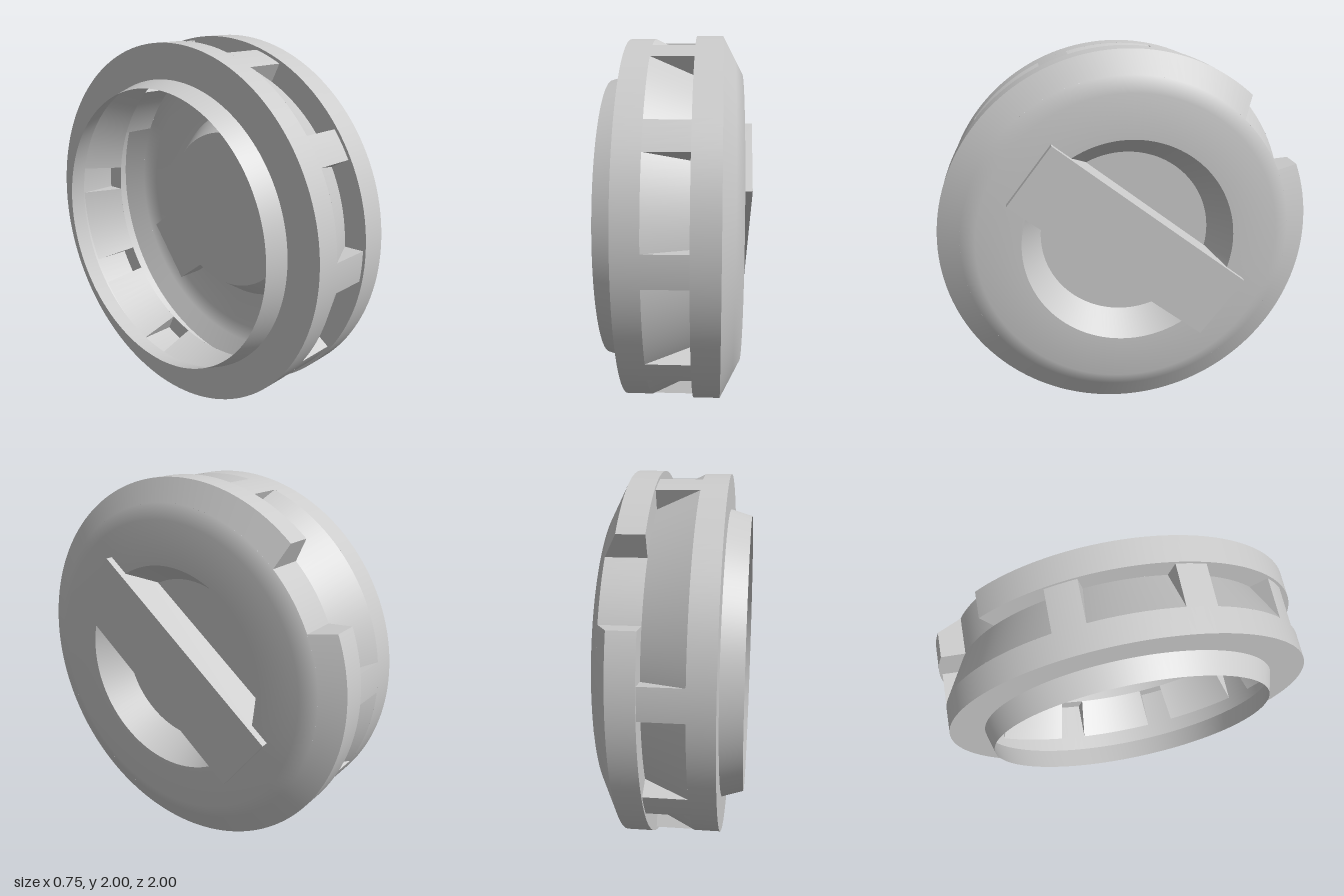
import * as THREE from 'three';

const RAD = Math.PI / 180;
const R_RING = 0.985, R_FLOOR = 0.88;      // outer ring and recessed radius
const X_RING = -0.13, X_DISC = 0.09;       // span of the posts and ramps
const POST_HALF = 4.75;
const NOTCH = 144.7, NOTCH_HALF = 11.1;    // notch centre and half width at its floor

const material = new THREE.MeshStandardMaterial({ color: 0xcccccc, side: THREE.DoubleSide });

export function createModel() {
  const model = new THREE.Group();
  model.name = 'cap';
  const body = new THREE.Group();
  body.name = 'capBody';
  body.position.y = 1;
  model.add(body);

  const add = (name, geometry) => {
    const mesh = new THREE.Mesh(geometry, material);
    mesh.name = name;
    body.add(mesh);
    return mesh;
  };

  // Thin shell turned about the x axis; profile is [x, radius], angles run from +z towards +y
  const turned = (profile, from = 0, to = 360) => {
    const points = profile.map(([x, r]) => new THREE.Vector2(r, x));
    const segments = Math.max(2, Math.ceil((to - from) / 2.5));
    return new THREE.LatheGeometry(points, segments, -to * RAD, (to - from) * RAD).rotateZ(-Math.PI / 2);
  };

  // Flat wall outlined in [x, radius], standing at an angle that may vary with radius
  const wall = (outline, angleAt) => {
    const geometry = new THREE.ShapeGeometry(new THREE.Shape(outline.map((p) => new THREE.Vector2(...p))));
    const pos = geometry.attributes.position;
    for (let i = 0; i < pos.count; i++) {
      const r = pos.getY(i), a = angleAt(r) * RAD;
      pos.setXYZ(i, pos.getX(i), r * Math.sin(a), r * Math.cos(a));
    }
    geometry.computeVertexNormals();
    return geometry;
  };

  // Back lip, back face and outer ring
  add('backLip', turned([[-0.38, 0.765], [-0.265, 0.8]]));
  add('backFace', turned([[-0.265, 0.8], [-0.265, R_RING]]));
  add('outerRing', turned([[-0.265, R_RING], [X_RING, R_RING]]));

  // Nine posts with sloping ramps between; the post behind the notch is left out
  const posts = [];
  for (let i = 0; i < 10; i++) if (i !== 9) posts.push(177 + 36 * i);
  const side = [[X_RING, R_RING], [X_DISC, R_RING], [X_DISC, R_FLOOR]];
  posts.forEach((centre, i) => {
    const start = centre - POST_HALF, end = centre + POST_HALF;
    const next = (i < posts.length - 1 ? posts[i + 1] : posts[0] + 360) - POST_HALF;
    add('post', turned([[X_RING, R_RING], [X_DISC, R_RING]], start, end));
    add('ramp', turned([[X_RING, R_RING], [X_DISC, R_FLOOR]], end, next));
    for (const a of [start, end]) add('postSide', wall(side, () => a));
  });

  // Rim of the front disc, open at the notch, whose sides flare outwards
  const notchHalf = (r) => NOTCH_HALF + (r - R_FLOOR) / 0.12 * 2.4;
  const rim = (profile) => {
    const geometry = turned(profile, NOTCH + NOTCH_HALF, NOTCH + 360 - NOTCH_HALF);
    const pos = geometry.attributes.position;
    for (let i = 0; i < pos.count; i++) {
      const y = pos.getY(i), z = pos.getZ(i), r = Math.hypot(y, z);
      const opposite = (NOTCH + 180) * RAD;
      let d = Math.atan2(y, z) - opposite;
      d = Math.atan2(Math.sin(d), Math.cos(d));
      const a = opposite + d * (180 - notchHalf(r)) / (180 - NOTCH_HALF);
      pos.setXYZ(i, pos.getX(i), r * Math.sin(a), r * Math.cos(a));
    }
    return geometry;
  };
  const section = [[X_DISC, R_FLOOR], [X_DISC, 1], [0.23, 1], [0.293, R_FLOOR]];
  ['rimBack', 'rimEdge', 'rimBevel'].forEach((name, i) => add(name, rim(section.slice(i, i + 2))));
  for (const s of [-1, 1]) add('notchSide', wall(section, (r) => NOTCH + s * notchHalf(r)));
  add('notchFloor', turned([[X_DISC, R_FLOOR], [0.293, R_FLOOR]], NOTCH - NOTCH_HALF, NOTCH + NOTCH_HALF));

  // Front face and the dished recess
  add('frontFace', turned([[0.293, R_FLOOR], [0.335, 0.8], [0.335, 0.565]]));
  add('recessWall', turned([[0.335, 0.565], [0.17, 0.46]]));
  add('recessFloor', turned([[0.17, 0.46], [0.17, 0]]));

  // Grip bar across the recess
  const bar = add('gripBar', new THREE.BoxGeometry(0.2, 0.385, 1.3));
  bar.position.set(0.275, 0.007, 0);
  bar.rotation.x = -0.66;

  return model;
}
